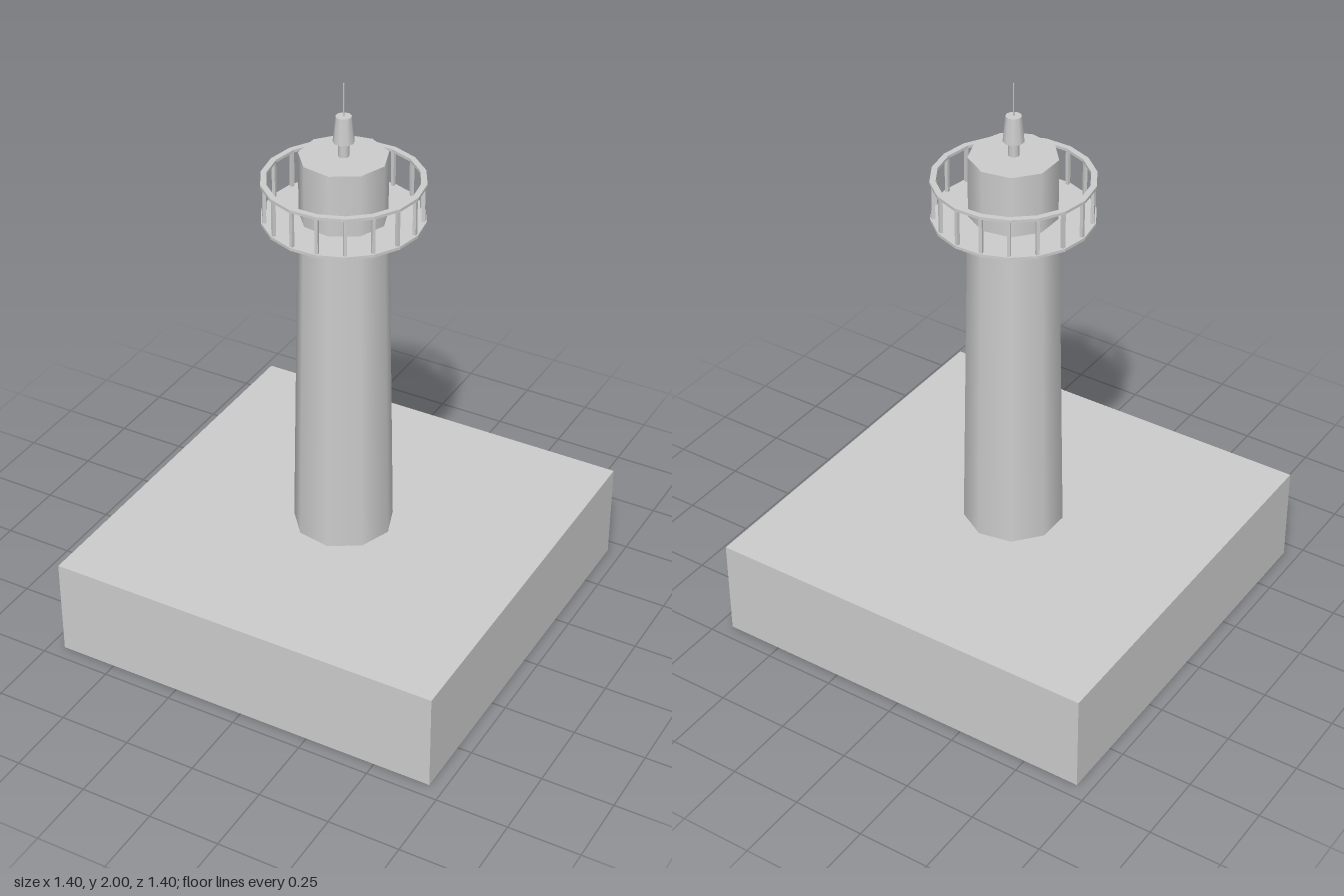
import * as THREE from 'three';

const HALF_PI = Math.PI / 2;
const grey = new THREE.MeshStandardMaterial({ color: 0xcccccc });
const greyFlat = new THREE.MeshStandardMaterial({ color: 0xcccccc, flatShading: true });
const greyOpen = new THREE.MeshStandardMaterial({ color: 0xcccccc, side: THREE.DoubleSide });

export function createModel() {
  const model = new THREE.Group();
  model.name = 'lighthouse';

  function add(name, geometry, material = grey, parent = model) {
    const mesh = new THREE.Mesh(geometry, material);
    mesh.name = name;
    parent.add(mesh);
    return mesh;
  }

  // Upright drum between two heights, with a corner pointing to +x
  function drum(name, rBottom, rTop, y0, y1, sides = 9, material = grey, parent = model) {
    const g = new THREE.CylinderGeometry(rTop, rBottom, y1 - y0, sides, 1, false, HALF_PI);
    g.translate(0, (y0 + y1) / 2, 0);
    return add(name, g, material, parent);
  }

  // Base: thin-walled box, open underneath
  const box = new THREE.BoxGeometry(1.4, 0.35, 1.4);
  const index = Array.from(box.index.array);
  index.splice(18, 6);
  box.setIndex(index);
  box.clearGroups();
  box.translate(0, 0.175, 0);
  add('base', box, greyOpen);

  // Tapered tower and the drum above the gallery
  drum('tower', 0.172, 0.148, 0.35, 1.53);
  drum('lanternRoom', 0.145, 0.145, 1.53, 1.75);

  // Gallery: deck, top rail and posts
  const gallery = new THREE.Group();
  gallery.name = 'gallery';
  model.add(gallery);
  const SIDES = 18;
  drum('deck', 0.265, 0.265, 1.528, 1.538, SIDES, greyFlat, gallery);

  const railProfile = [
    [0.245, 1.662], [0.265, 1.662], [0.265, 1.672], [0.245, 1.672], [0.245, 1.662],
  ].map(([r, y]) => new THREE.Vector2(r, y));
  add('topRail', new THREE.LatheGeometry(railProfile, SIDES, HALF_PI), greyFlat, gallery);

  const postGeometry = new THREE.BoxGeometry(0.011, 0.126, 0.011);
  for (let i = 0; i < SIDES; i++) {
    const a = (i / SIDES) * Math.PI * 2;
    const post = add('railPost', postGeometry, grey, gallery);
    post.position.set(Math.cos(a) * 0.254, 1.6, Math.sin(a) * 0.254);
    post.rotation.y = -a;
  }

  // Finial: stem, tapered cap and thin rod
  drum('finialStem', 0.018, 0.018, 1.75, 1.81);
  drum('finialCap', 0.035, 0.026, 1.8, 1.888);
  drum('lightningRod', 0.002, 0.002, 1.888, 2, 6);

  return model;
}
